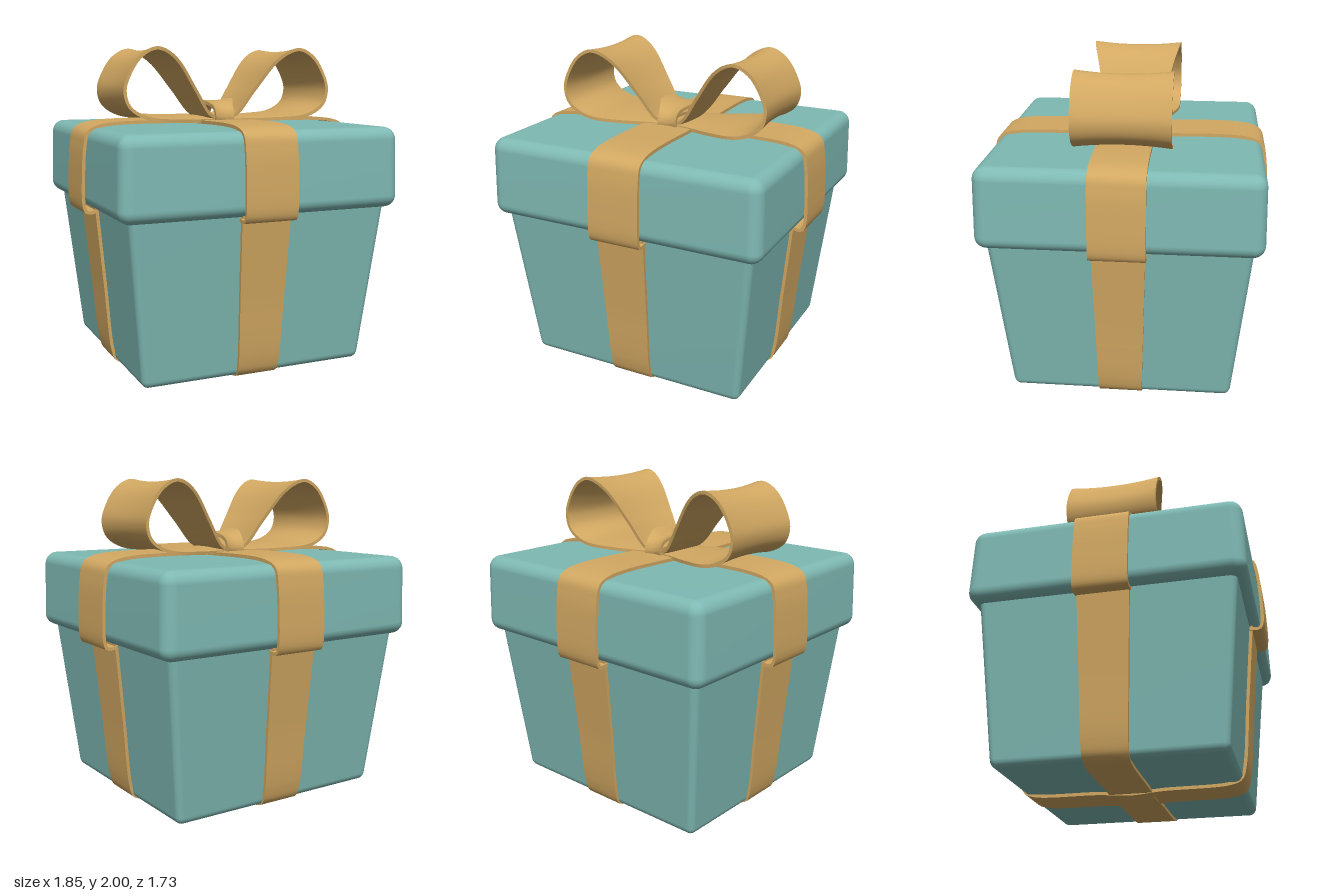
import * as THREE from 'three';
import { mergeVertices, toCreasedNormals } from 'three/addons/utils/BufferGeometryUtils.js';
import { RoundedBoxGeometry } from 'three/addons/geometries/RoundedBoxGeometry.js';

// Rounded box between y0 and y1 whose half widths run from the bottom pair to the top pair
function taperedBox(y0, y1, [bx, bz], [tx, tz], radius) {
  const h = y1 - y0;
  let geo = new RoundedBoxGeometry(2 * tx, h, 2 * tz, 5, radius);
  geo.deleteAttribute('normal');
  geo.deleteAttribute('uv');
  geo = mergeVertices(geo, 1e-4);
  const p = geo.attributes.position;
  for (let i = 0; i < p.count; i++) {
    const k = p.getY(i) / h + 0.5;
    p.setXYZ(i,
      p.getX(i) * THREE.MathUtils.lerp(bx / tx, 1, k),
      p.getY(i) + (y0 + y1) / 2,
      p.getZ(i) * THREE.MathUtils.lerp(bz / tz, 1, k));
  }
  geo.computeVertexNormals();
  return geo;
}

// Flat ribbon along a path in the xy plane; halfWidth(point) spreads along z, dip hollows the middle
function ribbon(path, halfWidth, { thick = 0.02, dip = 0, steps = 120, across = 8 } = {}) {
  const curve = new THREE.CatmullRomCurve3(path.map(([x, y]) => new THREE.Vector3(x, y, 0)), false, 'centripetal');
  const pos = [], idx = [], ring = 2 * (across + 1);
  for (let i = 0; i <= steps; i++) {
    const p = curve.getPointAt(i / steps), t = curve.getTangentAt(i / steps), w = halfWidth(p);
    for (let j = 0; j < ring; j++) {
      const top = j <= across;
      const v = 2 * (top ? j : ring - 1 - j) / across - 1;
      const off = (top ? 0.5 : -0.5) * thick - dip * (1 - v * v);
      pos.push(p.x - t.y * off, p.y + t.x * off, v * w);
    }
  }
  for (let i = 0; i < steps; i++) {
    for (let j = 0; j < ring; j++) {
      const a = i * ring + j, c = i * ring + (j + 1) % ring;
      idx.push(a, c, a + ring, c, c + ring, a + ring);
    }
  }
  // End caps
  const e = steps * ring;
  for (let j = 0; j < across; j++) {
    const b = ring - 1 - j;
    idx.push(j, b, j + 1, b, b - 1, j + 1);
    idx.push(e + j, e + j + 1, e + b, e + b, e + j + 1, e + b - 1);
  }
  const geo = new THREE.BufferGeometry();
  geo.setAttribute('position', new THREE.Float32BufferAttribute(pos, 3));
  geo.setIndex(idx);
  return toCreasedNormals(geo, 0.8);
}

// Completes a half path, given from its outer end to the middle, by mirroring it in x
const mirrored = (half) => [
  ...half.map(([x, y]) => [-x, y]),
  ...half.slice(0, -1).reverse(),
];

export function createModel() {
  const teal = new THREE.MeshStandardMaterial({ name: 'teal card', color: 0x7fb9b3 });
  const gold = new THREE.MeshStandardMaterial({ name: 'gold ribbon', color: 0xd2a862 });
  const model = new THREE.Group();
  model.name = 'giftBox';
  const add = (name, geo, mat, turn = 0) => {
    const mesh = new THREE.Mesh(geo, mat);
    mesh.name = name;
    mesh.rotation.y = turn;
    model.add(mesh);
  };

  // Tapered body and overhanging lid
  add('body', taperedBox(0.045, 1.08, [0.72, 0.67], [0.825, 0.775], 0.045), teal);
  add('lid', taperedBox(1.03, 1.52, [0.89, 0.833], [0.878, 0.822], 0.075), teal);

  // Ribbon bands crossing over the lid and under the body
  const bands = [
    { name: 'side', lid: 0.888, base: 0.72, lift: 0.004, turn: 0 },
    { name: 'front', lid: 0.83, base: 0.67, lift: 0, turn: -Math.PI / 2 },
  ];
  for (const { name, lid, base, lift, turn } of bands) {
    const over = mirrored([
      [lid - 0.06, 1.014], [lid + 0.005, 1.012], [lid + 0.021, 1.045], [lid + 0.022, 1.25],
      [lid + 0.008, 1.42], [lid - 0.012, 1.492], [lid - 0.09, 1.53], [0, 1.538 + lift],
    ]);
    add(name + 'LidRibbon', ribbon(over, () => 0.165, { steps: 160, across: 2 }), gold, turn);

    const under = mirrored([
      [base + 0.112, 1.04], [base + 0.063, 0.55], [base + 0.02, 0.13], [base - 0.005, 0.062],
      [base - 0.07, 0.037], [0.2, 0.026], [0, 0.012 + lift],
    ]);
    const width = (p) => 0.13 + 0.026 * THREE.MathUtils.clamp(p.y, 0, 1);
    add(name + 'BodyRibbon', ribbon(under, width, { steps: 160, across: 2 }), gold, turn);
  }

  // Two bow loops, pinched at the knot and flaring outwards
  const loop = [
    [0.02, 1.56], [0.09, 1.585], [0.2, 1.735], [0.33, 1.91], [0.42, 1.975], [0.49, 1.988], [0.58, 1.94],
    [0.65, 1.84], [0.682, 1.74], [0.655, 1.645], [0.55, 1.578], [0.3, 1.552], [0.02, 1.546],
  ];
  const flare = (p) => 0.165 + 0.122 * THREE.MathUtils.smoothstep(p.x, 0, 0.5);
  const loopGeo = ribbon(loop, flare, { thick: 0.02, dip: 0.018, across: 12 });
  add('leftBowLoop', loopGeo, gold);
  add('rightBowLoop', loopGeo, gold, Math.PI);

  // Knot band wrapped over the middle of the bow
  const knot = mirrored([[0.185, 1.535], [0.19, 1.575], [0.165, 1.625], [0.09, 1.66], [0, 1.67]]);
  const waist = (p) => 0.062 + 0.06 * THREE.MathUtils.smoothstep(0.19 - Math.abs(p.x), 0, 0.17);
  add('knot', ribbon(knot, waist, { thick: 0.022, dip: 0.014, steps: 60 }), gold, -Math.PI / 2);

  return model;
}
